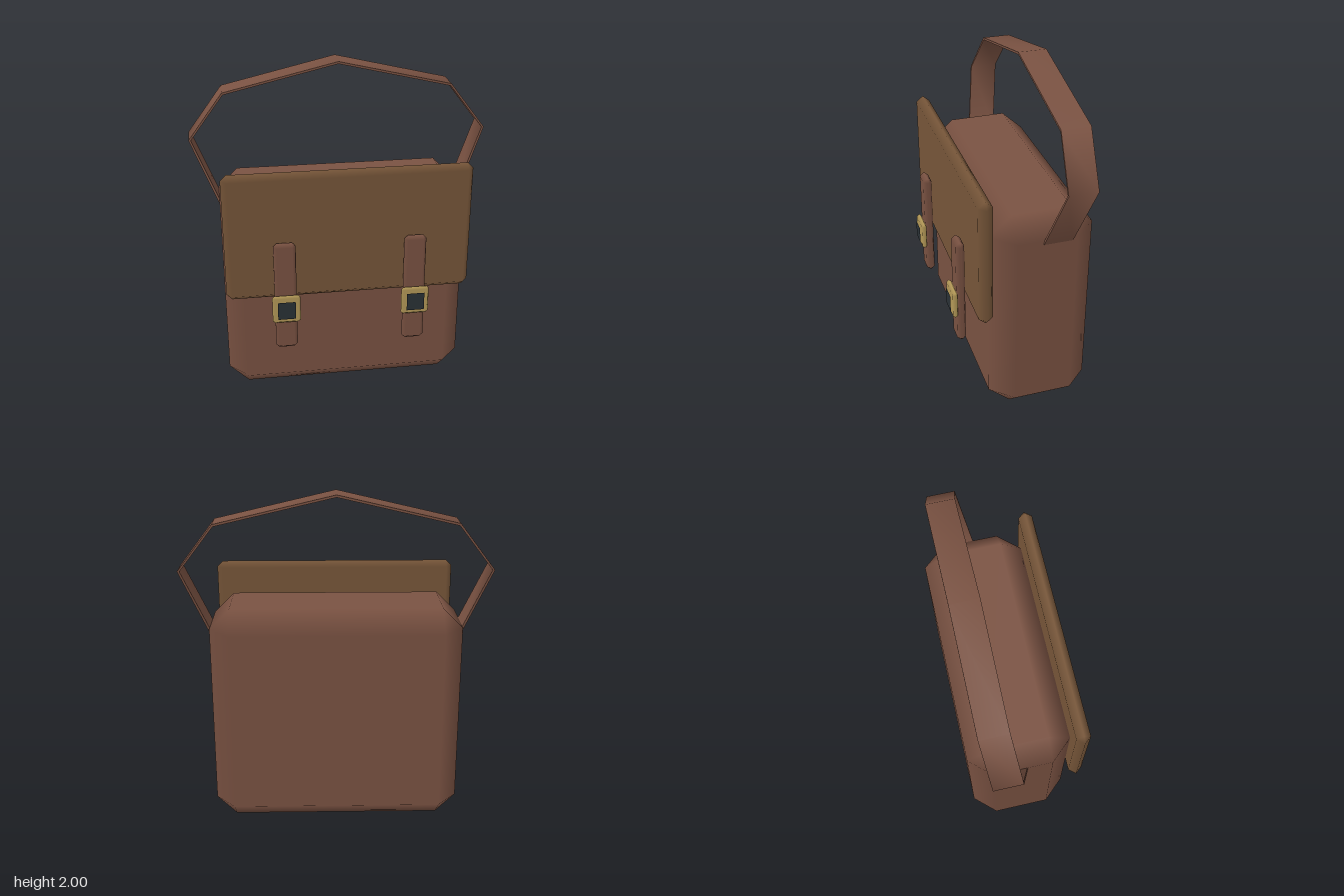
import * as THREE from 'three';

const mat = (color) => new THREE.MeshStandardMaterial({ color, side: THREE.DoubleSide });

// Box with one chamfer per edge; face normals blend smoothly across the chamfers.
function chamferBox(w, h, d, cx, cy, cz) {
  const half = [w / 2, h / 2, d / 2], cut = [cx, cy, cz];
  const pos = [], nor = [], index = [];
  const id = (axis, s) => axis * 8 + (s[0] > 0 ? 4 : 0) + (s[1] > 0 ? 2 : 0) + (s[2] > 0 ? 1 : 0);
  const signs = [];
  for (const x of [-1, 1]) for (const y of [-1, 1]) for (const z of [-1, 1]) signs.push([x, y, z]);
  for (let axis = 0; axis < 3; axis++) {
    for (const s of signs) {
      s.forEach((v, k) => {
        pos.push(v * (k === axis ? half[k] : half[k] - cut[k]));
        nor.push(k === axis ? v : 0);
      });
    }
  }
  const at = (a, i) => new THREE.Vector3().fromArray(a, i * 3);
  // Adds a triangle, turned so that it faces outwards.
  const tri = (a, b, c) => {
    const n = at(pos, b).sub(at(pos, a)).cross(at(pos, c).sub(at(pos, a)));
    const out = at(nor, a).add(at(nor, b)).add(at(nor, c));
    if (n.dot(out) >= 0) index.push(a, b, c); else index.push(a, c, b);
  };
  const quad = (a, b, c, e) => { tri(a, b, c); tri(a, c, e); };
  const corner = (i, si, j, sj, k, sk) => {
    const s = [0, 0, 0];
    s[i] = si; s[j] = sj; s[k] = sk;
    return s;
  };
  for (let i = 0; i < 3; i++) {
    const j = (i + 1) % 3, k = (i + 2) % 3;
    for (const si of [-1, 1]) {
      // Flat face
      quad(...[[-1, -1], [1, -1], [1, 1], [-1, 1]].map(([a, b]) => id(i, corner(i, si, j, a, k, b))));
      // Chamfers between faces i and j
      for (const sj of [-1, 1]) {
        const a = corner(i, si, j, sj, k, -1), b = corner(i, si, j, sj, k, 1);
        quad(id(i, a), id(i, b), id(j, b), id(j, a));
      }
    }
  }
  for (const s of signs) tri(id(0, s), id(1, s), id(2, s));
  const g = new THREE.BufferGeometry();
  g.setAttribute('position', new THREE.Float32BufferAttribute(pos, 3));
  g.setAttribute('normal', new THREE.Float32BufferAttribute(nor, 3));
  g.setIndex(index);
  return g;
}

// Thin band swept along [x, y, z] stations, its width running along z.
function bandGeometry(path, width, thickness) {
  const pos = [], index = [];
  const n = path.length;
  const rings = path.map(([x, y, z], i) => {
    const p = path[Math.max(i - 1, 0)], q = path[Math.min(i + 1, n - 1)];
    const out = new THREE.Vector2(p[1] - q[1], q[0] - p[0]).normalize().multiplyScalar(thickness / 2);
    return [[1, -1], [1, 1], [-1, 1], [-1, -1]].map(([o, s]) =>
      [x + out.x * o, y + out.y * o, z + s * width / 2]);
  });
  // Each of the four sides has its own vertices, so the long edges stay sharp.
  for (let e = 0; e < 4; e++) {
    const base = pos.length / 3;
    for (const r of rings) pos.push(...r[e], ...r[(e + 1) % 4]);
    for (let i = 0; i < n - 1; i++) {
      const a = base + i * 2;
      index.push(a, a + 1, a + 2, a + 1, a + 3, a + 2);
    }
  }
  const g = new THREE.BufferGeometry();
  g.setAttribute('position', new THREE.Float32BufferAttribute(pos, 3));
  g.setIndex(index);
  g.computeVertexNormals();
  return g;
}

export function createModel() {
  const bag = new THREE.Group();
  bag.name = 'satchel';
  const leather = mat(0x7a5242), flapLeather = mat(0x775639), brass = mat(0xb59a58), dark = mat(0x2a3136);

  const add = (name, geometry, material, x, y, z) => {
    const mesh = new THREE.Mesh(geometry, material);
    mesh.name = name;
    mesh.position.set(x, y, z);
    bag.add(mesh);
  };

  // Main pouch and front flap
  add('body', chamferBox(1.474, 1.328, 0.605, 0.118, 0.118, 0.13), leather, 0, 0.664, -0.089);
  add('flap', chamferBox(1.46, 0.79, 0.083, 0.034, 0.034, 0.04), flapLeather, 0, 1.09, 0.253);

  // Closing straps with buckles
  for (const [side, x] of [['left', 0.385], ['right', -0.385]]) {
    add(side + 'Strap', chamferBox(0.13, 0.69, 0.053, 0.02, 0.02, 0.022), leather, x, 0.731, 0.325);
    add(side + 'Buckle', chamferBox(0.166, 0.177, 0.03, 0.013, 0.013, 0.014), brass, x, 0.666, 0.365);
    add(side + 'BuckleInset', new THREE.PlaneGeometry(0.105, 0.112), dark, x, 0.666, 0.389);
  }

  // Carrying handle, listed from the right end to the top and mirrored
  const rise = [[-0.735, 1.19, -0.148], [-0.89, 1.565, -0.212], [-0.685, 1.832, -0.238]];
  const path = [...rise, [0, 1.992, -0.238], ...rise.map(([x, y, z]) => [-x, y, z]).reverse()];
  add('handle', bandGeometry(path, 0.168, 0.014), leather, 0, 0, 0);
  return bag;
}
